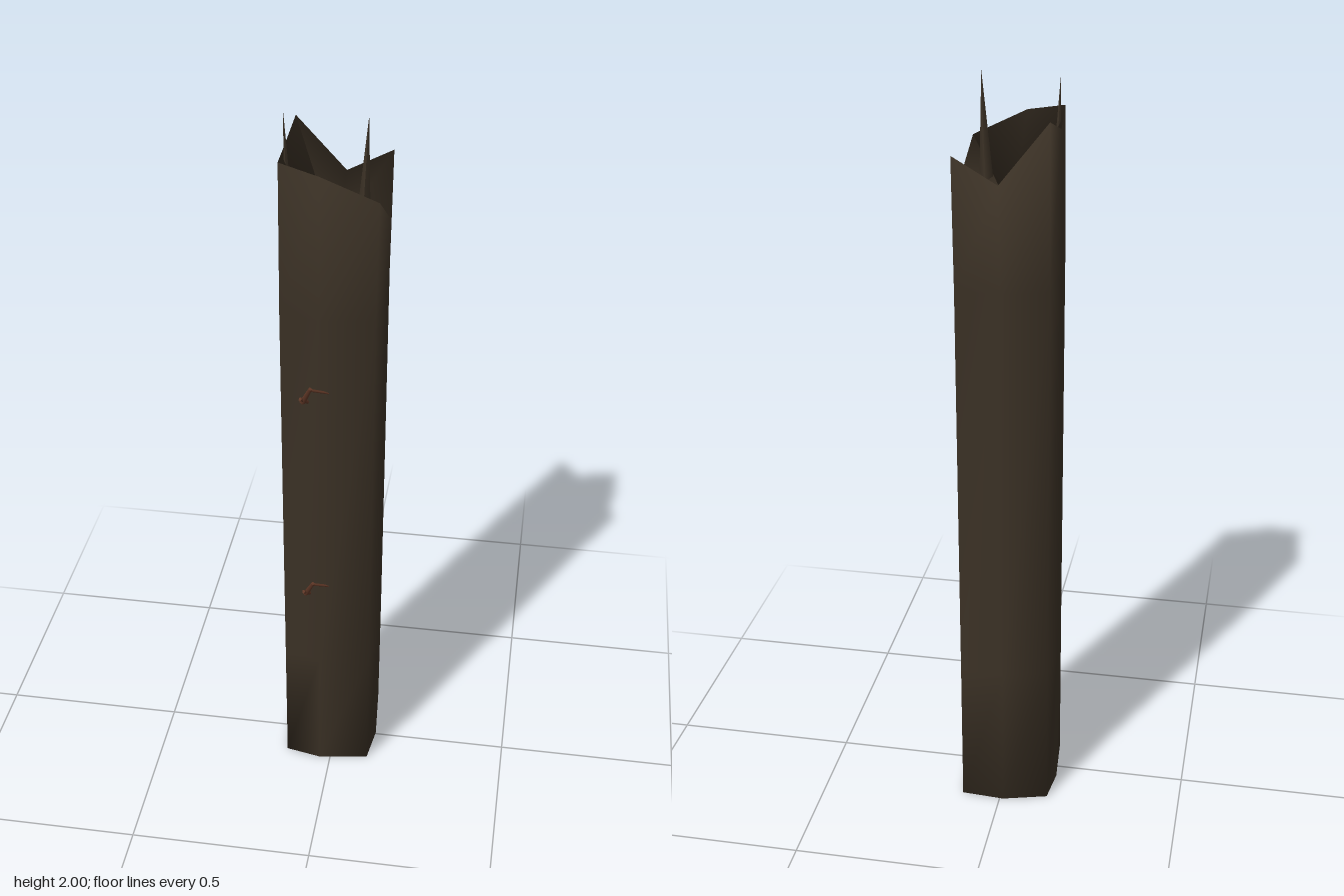
import * as THREE from 'three';

const wood = new THREE.MeshStandardMaterial({ color: 0x3c3226, side: THREE.DoubleSide });
wood.name = 'darkWood';
const twigBrown = new THREE.MeshStandardMaterial({ color: 0x5f3726 });
twigBrown.name = 'twigBrown';

// Footprint [x, z], running from the front -x corner round by +x and the back
const footprint = [
  [-0.13, 0.10], [-0.03, 0.12], [0.107, 0.10], [0.121, -0.005],
  [0.107, -0.17], [-0.01, -0.178], [-0.13, -0.145], [-0.142, -0.045],
];
// The trunk leans forward: ring height and offset [y, dx, dz]
const lean = [[0, 0, 0], [0.4, 0.005, 0.02], [1.5, 0.011, 0.035]];
// Heights of the snapped rim, in footprint order
const rimHeights = [1.905, 1.885, 1.82, 1.73, 1.835, 1.77, 1.92, 1.88];

// Hollow snapped trunk; shared vertices keep the shading smooth
function trunk() {
  const n = footprint.length;
  const pos = [], index = [];
  for (const [y, dx, dz] of lean) {
    for (const [x, z] of footprint) pos.push(x + dx, y, z + dz);
  }
  footprint.forEach(([x, z], i) => pos.push(x + 0.018, rimHeights[i], z + 0.05));
  for (let r = 0; r < lean.length; r++) {
    for (let i = 0; i < n; i++) {
      const a = r * n + i, b = r * n + (i + 1) % n;
      index.push(a, b, b + n, a, b + n, a + n);
    }
  }
  // Sunken break at the top
  const rim = lean.length * n, centre = pos.length / 3;
  pos.push(0, 1.66, 0.018);
  for (let i = 0; i < n; i++) index.push(rim + i, rim + (i + 1) % n, centre);
  // Flat underside
  for (let i = 1; i < n - 1; i++) index.push(0, i + 1, i);
  const g = new THREE.BufferGeometry();
  g.setAttribute('position', new THREE.Float32BufferAttribute(pos, 3));
  g.setIndex(index);
  g.computeVertexNormals();
  return g;
}

// Thin four-sided splinter, its tip pushed sideways
function splinter(x, z, radius, tipX) {
  const bottom = 1.68, height = 2 - bottom;
  const g = new THREE.ConeGeometry(radius, height, 4);
  g.translate(0, height / 2, 0);
  const p = g.attributes.position;
  for (let i = 0; i < p.count; i++) {
    p.setX(i, p.getX(i) + (tipX - x) * p.getY(i) / height);
  }
  g.computeVertexNormals();
  const m = new THREE.Mesh(g, wood);
  m.position.set(x, bottom, z);
  return m;
}

// Straight tapering twig between two points
function stick(from, to, r0, r1) {
  const a = new THREE.Vector3(...from), b = new THREE.Vector3(...to);
  const dir = b.clone().sub(a);
  const m = new THREE.Mesh(new THREE.CylinderGeometry(r1, r0, dir.length(), 5), twigBrown);
  m.position.copy(a).add(b).multiplyScalar(0.5);
  m.quaternion.setFromUnitVectors(new THREE.Vector3(0, 1, 0), dir.normalize());
  return m;
}

export function createModel() {
  const model = new THREE.Group();
  model.name = 'brokenPost';

  const post = new THREE.Mesh(trunk(), wood);
  post.name = 'trunk';
  model.add(post);

  const splinters = new THREE.Group();
  splinters.name = 'splinters';
  splinters.add(splinter(0.075, 0.078, 0.021, 0.088), splinter(-0.1, 0.08, 0.014, -0.11));
  model.add(splinters);

  // Two small forked twigs on the front
  [[1.285, 0.148], [0.66, 0.138]].forEach(([y, z], i) => {
    const twig = new THREE.Group();
    twig.name = i ? 'lowerTwig' : 'upperTwig';
    twig.add(
      stick([-0.05, -0.025, -0.005], [-0.065, -0.005, 0.018], 0.006, 0.005),
      stick([-0.062, -0.022, 0.004], [-0.038, 0.032, 0.025], 0.008, 0.005),
      stick([-0.04, 0.025, 0.02], [0.008, 0.005, -0.004], 0.004, 0.003),
    );
    twig.position.set(0, y, z);
    model.add(twig);
  });
  return model;
}
